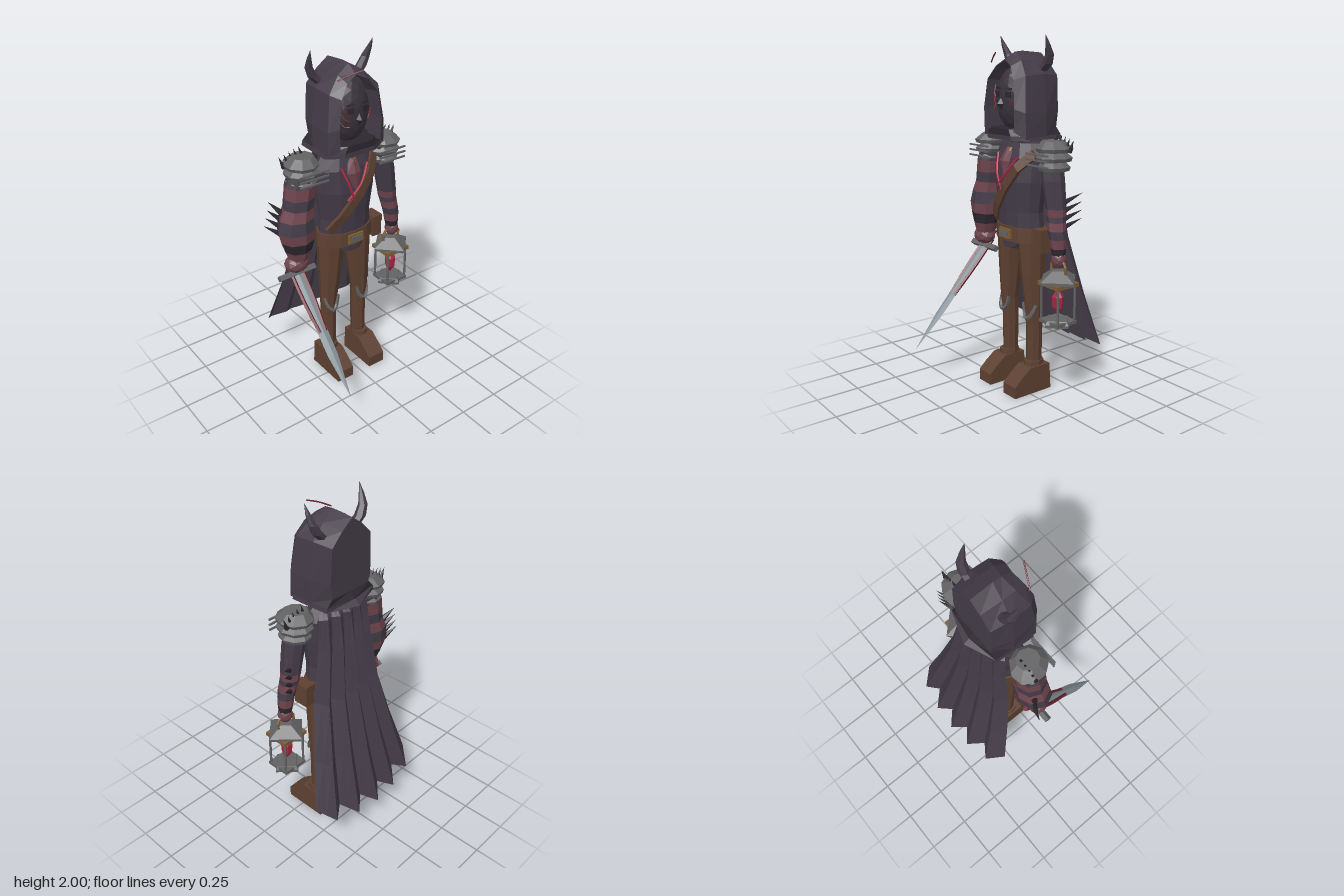
import * as THREE from 'three';

const paint = (color) => new THREE.MeshStandardMaterial({ color, flatShading: true, side: THREE.DoubleSide });
const V = (x, y, z) => new THREE.Vector3(x, y, z);

export function createModel() {
  const model = new THREE.Group();
  const cloth = paint(0x433b47), dark = paint(0x2c272e), pink = paint(0x6f444e), brown = paint(0x5d4031);
  const grey = paint(0x626264), gold = paint(0x7c5f34), crystal = paint(0xa82843), maroon = paint(0x6c2530);
  const steel = paint(0x87949a), face = paint(0x3a333c);

  const add = (name, geo, mat, pos = [0, 0, 0], rot = [0, 0, 0], parent = model) => {
    const m = new THREE.Mesh(geo, mat);
    m.name = name;
    m.position.set(...pos);
    m.rotation.set(...rot);
    parent.add(m);
    return m;
  };
  const box = (name, size, mat, pos, rot, parent) => add(name, new THREE.BoxGeometry(...size), mat, pos, rot, parent);
  const blob = (name, size, mat, pos, detail = 1, parent = model) =>
    add(name, new THREE.IcosahedronGeometry(1, detail).scale(...size), mat, pos, [0, 0, 0], parent);

  // Skin through cross-sections; one material per band, optional end caps
  const loft = (name, rings, mats, { wrap = true, capStart = true, capEnd = true } = {}, parent = model) => {
    const list = Array.isArray(mats) ? mats : [mats];
    const pts = [], geo = new THREE.BufferGeometry(), n = rings[0].length;
    const cap = (r, flip) => {
      const c = r.reduce((s, p) => s.add(p), V(0, 0, 0)).divideScalar(n);
      r.forEach((p, j) => pts.push(c, ...(flip ? [r[(j + 1) % n], p] : [p, r[(j + 1) % n]])));
    };
    for (let i = 0; i < rings.length - 1; i++) {
      const start = pts.length;
      if (i === 0 && capStart) cap(rings[0], true);
      for (let j = 0; j < (wrap ? n : n - 1); j++) {
        const k = (j + 1) % n, a = rings[i][j], b = rings[i][k], c = rings[i + 1][k], d = rings[i + 1][j];
        pts.push(a, b, c, a, c, d);
      }
      if (i === rings.length - 2 && capEnd) cap(rings[i + 1], false);
      geo.addGroup(start, pts.length - start, i % list.length);
    }
    geo.setFromPoints(pts);
    geo.computeVertexNormals();
    return add(name, geo, list, [0, 0, 0], [0, 0, 0], parent);
  };
  // Limb from stations [x, y, z, radiusX, radiusZ], listed bottom to top
  const limb = (name, stations, mats, n = 8, parent = model) => loft(name, stations.map(([x, y, z, rx, rz]) =>
    Array.from({ length: n }, (_, j) => {
      const a = (j / n) * Math.PI * 2;
      return V(x + Math.cos(a) * rx, y, z - Math.sin(a) * rz);
    })), mats, {}, parent);
  const tube = (name, points, r, mat, parent = model) => add(name,
    new THREE.TubeGeometry(new THREE.CatmullRomCurve3(points.map((p) => V(...p))), 10, r, 5), mat, [0, 0, 0], [0, 0, 0], parent);
  // Cone from a base point to a tip
  const spike = (name, from, to, r, mat = dark) => {
    const a = V(...from), d = V(...to).sub(a), len = d.length();
    const m = add(name, new THREE.ConeGeometry(r, len, 5).translate(0, len / 2, 0), mat, from);
    m.quaternion.setFromUnitVectors(V(0, 1, 0), d.normalize());
  };

  // Hood: arches from back panel to front rim and into the cavity
  const arch = (half) => [...half.map(([x, y, z]) => V(-x, y, z)), ...half.slice(0, -1).reverse().map((p) => V(...p))];
  loft('hood', [
    arch([[.13, 1.47, -.2], [.15, 1.6, -.2], [.14, 1.79, -.2], [.07, 1.86, -.2], [0, 1.91, -.2]]),
    arch([[.18, 1.46, -.09], [.185, 1.6, -.09], [.16, 1.8, -.09], [.08, 1.87, -.08], [0, 1.92, -.07]]),
    arch([[.185, 1.46, .05], [.18, 1.6, .05], [.155, 1.79, .03], [.08, 1.87, 0], [0, 1.915, -.02]]),
    arch([[.13, 1.5, .09], [.135, 1.62, .09], [.115, 1.77, .08], [.065, 1.84, .06], [0, 1.87, .045]]),
    arch([[.12, 1.5, -.01], [.125, 1.62, -.01], [.105, 1.76, -.01], [.06, 1.83, -.01], [0, 1.86, -.01]]),
  ], cloth, { wrap: false, capEnd: false });
  // Flared hem of the hood with a point behind
  const hem = (y, k, back) => [[.19, .03], [.18, -.2], [0, back], [-.18, -.2], [-.19, .03], [-.1, .085], [.1, .085]]
    .map(([x, z]) => V(x * k, y, z));
  loft('hoodHem', [hem(1.45, 1, -.265), hem(1.475, .97, -.23), hem(1.51, .78, -.2)], [cloth, dark]);
  tube('looseStrand', [[-.12, 1.86, .05], [-.06, 1.89, .08], [0, 1.91, .11]], .004, maroon);

  // Face
  blob('face', [.118, .175, .09], face, [0, 1.665, -.02], 2);
  for (const s of [-1, 1]) {
    box('eye', [.035, .03, .008], dark, [s * .045, 1.69, .062], [0, s * .25, 0]);
    box('brow', [.04, .01, .009], dark, [s * .045, 1.722, .06], [-.2, s * .25, 0]);
  }
  add('nose', new THREE.OctahedronGeometry(1).scale(.02, .032, .025), dark, [0, 1.642, .075]);
  for (let i = 0; i < 3; i++)
    tube('faceScar', [[-.1, 1.74 - i * .05, .035], [-.08, 1.69 - i * .04, .06], [-.06, 1.67 - i * .03, .07]], .004, maroon);
  tube('faceScar', [[.06, 1.63, .067], [.08, 1.655, .055], [.1, 1.67, .04]], .004, maroon);

  // Horns
  for (const s of [-1, 1]) {
    const path = [[.11, 1.81, -.11, .032], [.155, 1.85, -.115, .03], [.18, 1.9, -.11, .024], [.19, 1.95, -.09, .014], [.195, 2, -.07, .001]];
    limb('horn', path.map(([x, y, z, r]) => [s * x, y, z, r, r]), cloth, 6);
  }

  // Torso, neck and tunic skirt
  limb('torso', [[0, .9, -.065, .175, .1], [0, 1.05, -.06, .16, .1], [0, 1.22, -.06, .185, .115], [0, 1.35, -.065, .19, .105],
    [0, 1.43, -.07, .14, .08]], cloth, 12);
  limb('neck', [[0, 1.38, -.07, .07, .06], [0, 1.52, -.06, .07, .06]], dark);
  limb('tunicSkirt', [[0, .84, -.065, .1, .105], [0, .91, -.065, .17, .105]], cloth, 10);
  limb('chestScarf', [[0, 1.22, .05, .004, .01], [-.01, 1.33, .045, .045, .014], [0, 1.4, .015, .03, .014]], pink, 4);
  limb('collarClasp', [[0, 1.385, .022, .025, .012], [0, 1.405, .01, .03, .012]], gold, 6);
  tube('chestCord', [[-.085, 1.37, .03], [-.05, 1.26, .066], [-.02, 1.17, .06]], .007, crystal);
  tube('chestCord', [[.09, 1.36, .03], [.02, 1.26, .066], [-.06, 1.18, .058]], .007, crystal);

  // Strap, belt and pouch
  loft('strap', [[-.15, .99, .01], [-.08, 1.08, .05], [.01, 1.19, .068], [.1, 1.3, .055], [.17, 1.38, -.01]].map(([x, y, z]) =>
    [V(x - .02, y + .018, z), V(x + .02, y - .018, z), V(x + .02, y - .018, z - .02), V(x - .02, y + .018, z - .02)]), brown);
  limb('belt', [[0, .88, -.065, .185, .112], [0, .965, -.065, .18, .11]], brown, 12);
  box('buckle', [.1, .055, .012], gold, [0, .925, .05]);
  box('bucklePlate', [.07, .03, .01], grey, [0, .925, .058]);
  box('pouch', [.06, .12, .09], brown, [.205, .9, -.06]);
  box('pouchFlap', [.068, .04, .098], brown, [.205, .95, -.06]);

  // Legs, knee guards and boots
  for (const s of [-1, 1]) {
    limb('leg', [[s * .11, .14, -.075, .042, .045], [s * .11, .4, -.075, .045, .05], [s * .112, .5, -.07, .048, .055],
      [s * .1, .7, -.07, .066, .075], [s * .088, .9, -.07, .082, .09]], brown);
    tube('kneeGuard', [[s * .155, .52, -.05], [s * .14, .46, -.025], [s * .112, .435, -.012], [s * .085, .46, -.025], [s * .07, .52, -.03]], .011, grey);
    const side = new THREE.Shape([[-.15, 0], [.11, 0], [.11, .065], [.06, .11], [0, .155], [-.14, .155]].map((p) => new THREE.Vector2(...p)));
    add('boot', new THREE.ExtrudeGeometry(side, { depth: .11, bevelEnabled: false }).translate(0, 0, -.055).rotateY(-Math.PI / 2),
      brown, [s * .118, 0, 0]);
    limb('bootCuff', [[s * .114, .14, -.07, .053, .065], [s * .114, .18, -.07, .05, .062]], brown);
  }

  // Striped arms: swollen right, slender left
  limb('rightArm', [[-.325, .86, -.05, .055, .055], [-.32, .92, -.055, .08, .075], [-.32, .98, -.06, .1, .09], [-.32, 1.04, -.065, .113, .1],
    [-.315, 1.11, -.07, .1, .095], [-.3, 1.17, -.07, .088, .085], [-.29, 1.23, -.07, .09, .085], [-.28, 1.3, -.07, .092, .085], [-.26, 1.4, -.07, .07, .07]],
  [pink, dark, pink, cloth, pink, cloth, pink, cloth]);
  limb('leftArm', [[.345, .84, -.05, .034, .034], [.34, .89, -.05, .042, .042], [.335, .94, -.05, .047, .046], [.325, .985, -.05, .05, .05],
    [.315, 1.03, -.055, .052, .052], [.31, 1.06, -.06, .053, .055], [.305, 1.1, -.06, .055, .058], [.28, 1.25, -.06, .06, .065], [.25, 1.4, -.065, .06, .065]],
  [dark, pink, cloth, pink, cloth, pink, cloth, cloth]);
  blob('rightHand', [.075, .055, .06], pink, [-.335, .835, -.05]);
  blob('leftHand', [.042, .05, .042], pink, [.345, .83, -.05]);
  for (let i = 0; i < 4; i++) {
    const y = 1 + i * .045;
    spike('rightArmSpike', [-.38, y, -.11], [-.475 + i * .012, y + .07, -.15], .02);
    spike('leftArmSpike', [.34, y, -.09], [.425, y + .06, -.14], .015);
  }

  // Tiered shoulder guards with spikes and lacing pins
  for (const s of [-1, 1]) {
    [[1.3, .085], [1.35, .095], [1.4, .098]].forEach(([y, r]) =>
      limb('shoulderGuard', [[s * .275, y, -.07, r * .9, r], [s * .275, y + .02, -.07, r, r * 1.08], [s * .265, y + .058, -.07, r * .62, r * .65]], grey, 9));
    for (let i = 0; i < 5; i++) {
      const x = s * (.24 + i * .03);
      spike('shoulderSpike', [x, 1.43 - i * .007, -.1], [x + s * .025, 1.5 - i * .008, -.105], .014);
    }
    for (let i = 0; i < 3; i++) box('lacingPin', [.18, .009, .009], grey, [s * .26, 1.33 + i * .03, .04]);
  }

  // Pleated cape: rows of [y, z, halfWidth, pleatDepth]
  const rows = [[1.45, -.14, .13, .004], [1.39, -.195, .185, .01], [1.2, -.22, .2, .018], [.9, -.25, .25, .025], [.55, -.33, .32, .03], [.23, -.415, .387, .036]];
  loft('cape', rows.map(([y, z, w, amp], i) => Array.from({ length: 21 }, (_, j) => {
    const t = j / 10 - 1, fold = Math.cos(t * Math.PI * 5), low = i / 5;
    return V(t * w, y + low ** 3 * (.06 * t * t - .025 * fold), z - amp * fold + t * t * (.03 + .03 * low));
  })), cloth, { wrap: false, capStart: false, capEnd: false });

  // Sword held forward and down
  const sword = new THREE.Group();
  sword.name = 'sword';
  sword.position.set(-.335, .77, -.05);
  sword.rotation.x = -.738;
  model.add(sword);
  limb('blade', [[0, -.743, 0, .001, .001], [0, -.5, 0, .031, .009], [0, 0, 0, .037, .011]], steel, 4, sword);
  box('guard', [.235, .03, .03], grey, [0, 0, 0], [0, 0, 0], sword);
  limb('grip', [[0, 0, 0, .016, .016], [0, .11, 0, .016, .016]], maroon, 6, sword);
  for (const s of [-1, 1]) tube('bladeRail', [[s * .035, .05, 0], [s * .034, -.15, 0], [s * .018, -.36, 0]], .011, maroon, sword);

  // Lantern: diamond roof and base, gold square frame, glowing crystal
  const lantern = new THREE.Group();
  lantern.name = 'lantern';
  lantern.position.set(.342, 0, -.05);
  model.add(lantern);
  limb('lanternRoof', [[0, .705, 0, .125, .125], [0, .72, 0, .125, .125], [0, .77, 0, .04, .04]], grey, 4, lantern);
  box('lanternTopFrame', [.165, .022, .15], gold, [0, .695, 0], [0, 0, 0], lantern);
  limb('lanternBase', [[0, .46, 0, .09, .09], [0, .475, 0, .09, .09], [0, .495, 0, .075, .075]], grey, 4, lantern);
  box('lanternFloor', [.15, .018, .14], grey, [0, .482, 0], [0, 0, 0], lantern);
  box('lanternUnderside', [.1, .012, .1], gold, [0, .464, 0], [0, 0, 0], lantern);
  for (const x of [-.068, .068]) for (const z of [-.06, .06]) {
    add('lanternPost', new THREE.CylinderGeometry(.007, .007, .21, 6), grey, [x, .59, z], [0, 0, 0], lantern);
  }
  limb('lanternCrystal', [[0, .52, 0, .004, .004], [0, .56, 0, .03, .03], [0, .62, 0, .034, .034], [0, .665, 0, .004, .004]], crystal, 6, lantern);
  tube('lanternHandle', [[-.055, .74, 0], [-.055, .8, 0], [0, .84, 0], [.055, .8, 0], [.055, .74, 0]], .008, gold, lantern);

  return model;
}
